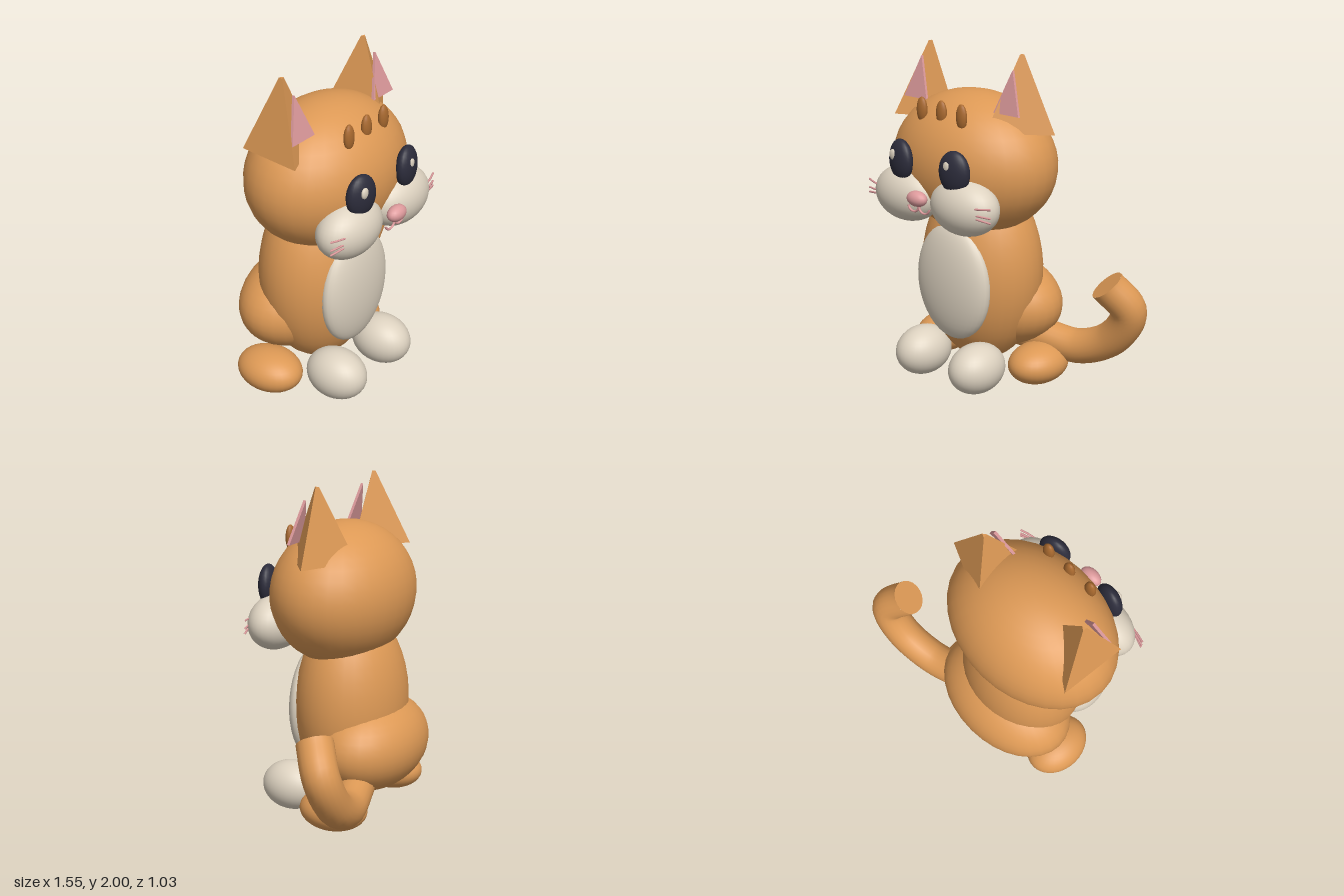
import * as THREE from 'three';

const AXIS = -0.23; // the body's own mirror line; the tail takes up the space on +x

function material(name, color, extra = {}) {
  const m = new THREE.MeshStandardMaterial({ color, ...extra });
  m.name = name;
  return m;
}

export function createModel() {
  const orange = material('orange fur', 0xdd9955);
  const orangeFlat = orange.clone();
  orangeFlat.flatShading = true;
  const cream = material('cream fur', 0xddd2c0);
  const pink = material('pink', 0xdd9a9c);
  const dark = material('dark eye', 0x2c2c3b);
  const brown = material('brown stripe', 0xa8692f);

  const cat = new THREE.Group();
  cat.name = 'cat';

  function add(name, geometry, mat, x, y, z) {
    const mesh = new THREE.Mesh(geometry, mat);
    mesh.name = name;
    mesh.position.set(AXIS + x, y, z);
    cat.add(mesh);
    return mesh;
  }
  // ellipsoid: offset from the mirror line, then radii
  function blob(name, mat, [x, y, z], [rx, ry, rz], detail = 32) {
    const g = new THREE.SphereGeometry(1, detail, Math.round(detail * 0.65)).scale(rx, ry, rz);
    return add(name, g, mat, x, y, z);
  }
  function tube(name, mat, points, radius, segments, sides) {
    const curve = new THREE.CatmullRomCurve3(points.map((p) => new THREE.Vector3(...p)));
    add(name, new THREE.TubeGeometry(curve, segments, radius, sides), mat, 0, 0, 0);
    return curve;
  }

  // Body and head
  blob('body', orange, [0, 0.67, -0.07], [0.395, 0.58, 0.325]);
  blob('haunches', orange, [0, 0.445, -0.205], [0.453, 0.285, 0.31]);
  blob('belly', cream, [0, 0.635, 0.18], [0.28, 0.355, 0.1]);
  blob('head', orange, [0, 1.34, -0.01], [0.54, 0.42, 0.4]);

  // Nose and forehead stripes
  blob('nose', pink, [0, 1.205, 0.468], [0.07, 0.045, 0.045], 20);
  for (const x of [-0.155, 0, 0.155]) {
    blob('foreheadStripe', brown, [x, 1.66, 0.262], [0.037, 0.075, 0.025], 16);
  }

  // Thin triangular lining of an ear
  const triangle = new THREE.Shape([
    new THREE.Vector2(-0.092, -0.125), new THREE.Vector2(0.092, -0.125), new THREE.Vector2(0, 0.125),
  ]);
  const lining = new THREE.ExtrudeGeometry(triangle, { depth: 0.016, bevelEnabled: false });

  for (const s of [-1, 1]) {
    const side = s > 0 ? 'left' : 'right';

    // Paws and feet
    blob(side + 'FrontPaw', cream, [s * 0.22, 0.157, 0.22], [0.148, 0.15, 0.19]);
    blob(side + 'HindFoot', orange, [s * 0.385, 0.127, -0.145], [0.163, 0.122, 0.207]);

    // Cheeks and eyes
    blob(side + 'Cheek', cream, [s * 0.225, 1.168, 0.315], [0.23, 0.165, 0.15]);
    blob(side + 'Eye', dark, [s * 0.211, 1.378, 0.382], [0.098, 0.123, 0.053], 24).rotation.y = s * 0.2;
    blob(side + 'EyeHighlight', cream, [s * 0.213 - 0.02, 1.413, 0.424], [0.028, 0.033, 0.014], 12);

    // Three-sided ears, both turned almost the same way
    const ear = add(side + 'Ear', new THREE.CylinderGeometry(0.014, 0.225, 0.43, 3),
      orangeFlat, s * 0.355, 1.785, -0.02);
    ear.rotation.y = Math.PI / 2 + s * 0.1;
    add(side + 'InnerEar', lining, pink, s * 0.355, 1.797, 0.075).rotation.x = -0.23;

    // Mouth curve
    const mouth = add(side + 'Mouth', new THREE.TorusGeometry(0.04, 0.007, 8, 16, Math.PI),
      pink, s * 0.042, 1.155, 0.455);
    mouth.rotation.z = Math.PI;
    mouth.scale.y = 0.85;

    // Whiskers
    for (const [y0, y1] of [[1.205, 1.216], [1.172, 1.165], [1.155, 1.137]]) {
      tube(side + 'Whisker', pink,
        [[s * 0.37, y0, 0.412], [s * 0.43, (y0 + y1) / 2, 0.4], [s * 0.483, y1, 0.383]], 0.006, 4, 6);
    }
  }

  // Tail curling up and forwards, closed with a flat end
  const path = tube('tail', orange, [
    [0.13, 0.28, -0.2], [0.33, 0.25, -0.26], [0.56, 0.225, -0.32],
    [0.78, 0.33, -0.355], [0.9, 0.53, -0.34], [0.805, 0.69, -0.25],
  ], 0.105, 40, 20);
  const end = path.getPoint(1);
  const tip = add('tailEnd', new THREE.CircleGeometry(0.105, 20), orange, end.x, end.y, end.z);
  tip.quaternion.setFromUnitVectors(new THREE.Vector3(0, 0, 1), path.getTangent(1));

  return cat;
}
